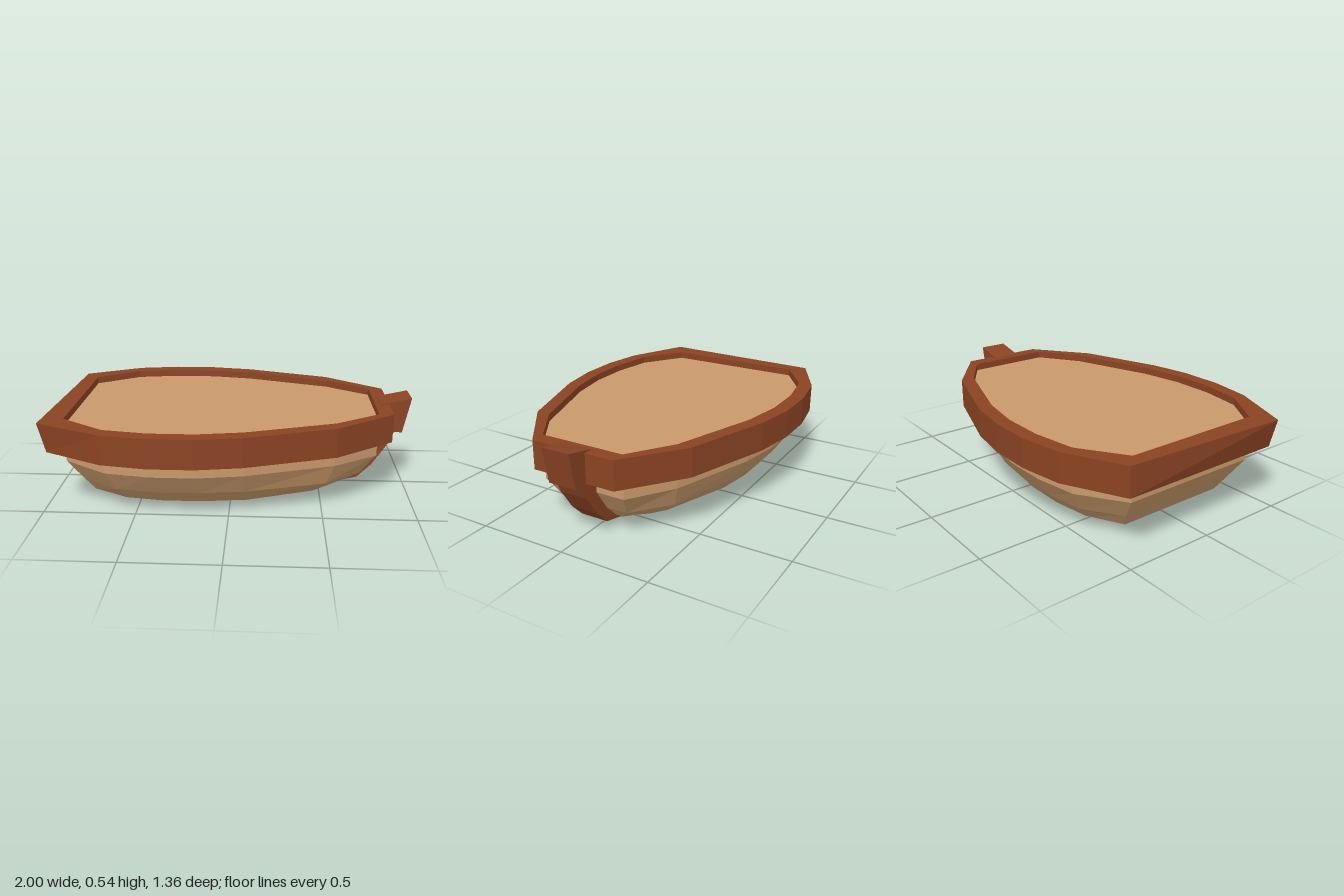
import * as THREE from 'three';

// Closed ring from one side's [x, z, y?] points, running stern to bow on +z and back on -z
function ring(half, y) {
  const side = half.map(([x, z, py]) => new THREE.Vector3(x, py ?? y, z));
  const other = side.map((p) => new THREE.Vector3(p.x, p.y, -p.z)).reverse();
  return [...side, ...other];
}

// Faceted skin joining successive rings (lower ring first for outward faces)
function loft(rings) {
  const points = [];
  for (let r = 0; r < rings.length - 1; r++) {
    const a = rings[r], b = rings[r + 1];
    for (let i = 0; i < a.length; i++) {
      const j = (i + 1) % a.length;
      points.push(a[i], a[j], b[j], a[i], b[j], b[i]);
    }
  }
  const geometry = new THREE.BufferGeometry().setFromPoints(points);
  geometry.computeVertexNormals();
  return geometry;
}

export function createModel() {
  const group = new THREE.Group();
  const planking = new THREE.MeshStandardMaterial({ color: 0xc8996b, side: THREE.DoubleSide });
  planking.name = 'lightPlanking';
  const trim = new THREE.MeshStandardMaterial({ color: 0x8a4323 });
  trim.name = 'redBrownTrim';

  const add = (name, geometry, material) => {
    const mesh = new THREE.Mesh(geometry, material);
    mesh.name = name;
    group.add(mesh);
    return mesh;
  };

  // Plan outlines, stern to bow
  const deckLine = [[-0.88, 0.4], [-0.64, 0.56], [-0.4, 0.6], [-0.16, 0.6], [0.08, 0.56], [0.56, 0.4], [0.8, 0.24]];
  const rimLine = [[-0.96, 0.48], [-0.64, 0.64], [-0.4, 0.68], [-0.16, 0.68], [0.08, 0.64], [0.56, 0.48], [0.88, 0.24]];
  const bilgeHigh = [[-0.8, 0.36], [-0.6, 0.49], [-0.38, 0.52], [-0.15, 0.52], [0.08, 0.49], [0.52, 0.36], [0.72, 0.2]];
  const bilgeLow = [[-0.75, 0.32], [-0.56, 0.42], [-0.36, 0.45], [-0.14, 0.45], [0.07, 0.42], [0.46, 0.28], [0.64, 0.12]];
  const keelLine = [[-0.65, 0.26], [-0.42, 0.31], [-0.26, 0.33], [-0.08, 0.33], [0.08, 0.32], [0.45, 0.16, 0], [0.57, 0.08, 0.02]];

  // Hull shell, open underneath
  add('hull', loft([
    ring(keelLine, 0.01), ring(bilgeLow, 0.06), ring(bilgeHigh, 0.14),
    ring(deckLine, 0.26), ring(deckLine, 0.42),
  ]), planking);

  // Deck slab, sunk slightly below the rim
  const deckShape = new THREE.Shape(ring(deckLine, 0).map((p) => new THREE.Vector2(p.x, p.z)));
  const deck = new THREE.ExtrudeGeometry(deckShape, { depth: 0.06, bevelEnabled: false });
  deck.rotateX(Math.PI / 2);
  add('deck', deck, planking).position.y = 0.46;

  // Raised rim, with its stern corner leaning out on the front side
  const rimTop = ring(rimLine, 0.5);
  rimTop[0].x = -1;
  add('rim', loft([
    ring(deckLine, 0.34), ring(rimLine, 0.34), rimTop,
    ring(deckLine, 0.5), ring(deckLine, 0.34),
  ]), trim);

  // Curved stem post at the bow
  const stemProfile = [
    [0.83, 0.503], [0.83, 0.36], [0.79, 0.26], [0.71, 0.14], [0.63, 0.07], [0.55, 0.02],
    [0.72, 0.06], [0.8, 0.14], [0.88, 0.26], [0.915, 0.34], [0.96, 0.34], [1, 0.54],
  ];
  const stem = new THREE.ExtrudeGeometry(
    new THREE.Shape(stemProfile.map(([x, y]) => new THREE.Vector2(x, y))),
    { depth: 0.16, bevelEnabled: false },
  );
  add('stemPost', stem, trim).position.z = -0.08;

  return group;
}
